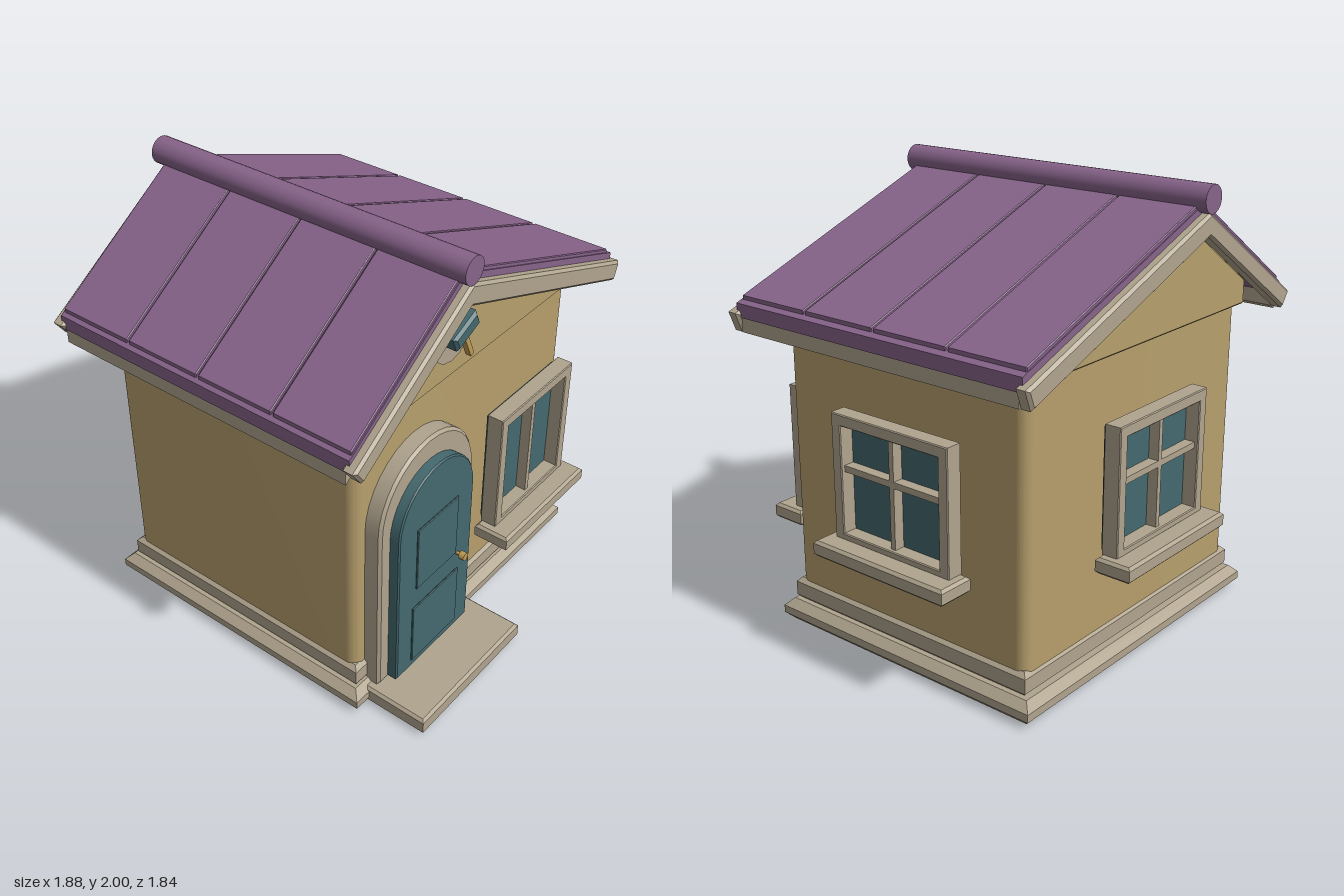
import * as THREE from 'three';
import { toCreasedNormals } from 'three/addons/utils/BufferGeometryUtils.js';

const mat = (name, color) => new THREE.MeshStandardMaterial({ name, color });

export function createModel() {
  const house = new THREE.Group();
  house.name = 'cottage';
  const plaster = mat('plaster', 0xb79f6d);
  const trim = mat('trim', 0xb0a48e);
  const teal = mat('teal', 0x44696f);
  const purple = mat('purple', 0x87638a);
  const brass = mat('brass', 0xbd9853);

  const add = (name, geo, material, parent = house) => {
    const mesh = new THREE.Mesh(geo, material);
    mesh.name = name;
    parent.add(mesh);
    return mesh;
  };

  // Outline extruded from z0 to z1, edges chamfered by b inside that size
  const prism = (shape, z0, z1, b = 0) => {
    const geo = new THREE.ExtrudeGeometry(shape, {
      depth: z1 - z0 - 2 * b, curveSegments: 8, bevelEnabled: b > 0,
      bevelSize: b, bevelThickness: b, bevelOffset: -b, bevelSegments: 1,
    });
    return toCreasedNormals(geo.translate(0, 0, z0 + b), 0.5);
  };
  const poly = (pts) => new THREE.Shape(pts.map(([x, y]) => new THREE.Vector2(x, y)));
  const rect = (x0, x1, y0, y1) => poly([[x0, y0], [x1, y0], [x1, y1], [x0, y1]]);
  // Horizontal slab with plan outline x0..x1, z0..z1
  const slab = (x0, x1, z0, z1, y0, y1, b) =>
    prism(rect(x0, x1, -z1, -z0), y0, y1, b).rotateX(-Math.PI / 2);

  // Plinth and front step
  add('lowerPlinth', slab(-0.81, 0.78, -0.765, 0.635, 0, 0.105, 0.035), trim);
  add('upperPlinth', slab(-0.765, 0.735, -0.715, 0.595, 0.1, 0.205, 0.02), trim);
  add('frontStep', slab(-0.73, -0.02, 0.5, 0.92, 0.01, 0.088, 0.012), trim);

  // Walls with rounded corners
  const [wx0, wx1, wy0, wy1, r] = [-0.75, 0.72, -0.58, 0.705, 0.05];
  const plan = new THREE.Shape();
  plan.absarc(wx1 - r, wy1 - r, r, 0, Math.PI / 2);
  plan.absarc(wx0 + r, wy1 - r, r, Math.PI / 2, Math.PI);
  plan.absarc(wx0 + r, wy0 + r, r, Math.PI, Math.PI * 1.5);
  plan.absarc(wx1 - r, wy0 + r, r, Math.PI * 1.5, Math.PI * 2);
  add('walls', prism(plan, 0.15, 1.39).rotateX(-Math.PI / 2), plaster);

  // Gable block standing slightly proud of the walls
  const gable = [[-0.78, 1.38], [0.755, 1.38], [0.755, 1.47], [-0.245, 1.85], [-0.78, 1.49]];
  add('gable', prism(poly(gable), -0.725, 0.6, 0.008), plaster);

  // Roof: base slab, planks and eave board on each slope
  const ridge = -0.245;
  const slopes = [
    { side: 'left', dx: 1.135, k: 0.376 },
    { side: 'right', dx: -0.675, k: 0.665 },
  ];
  for (const { side, dx, k } of slopes) {
    const at = (t, dy) => [ridge + dx * t, 1.88 - Math.abs(dx) * t * k + dy];
    const strip = (t0, t1, dy0, dy1) => {
      const pts = [at(t0, dy0), at(t1, dy0), at(t1, dy1), at(t0, dy1)];
      return poly(dx > 0 ? pts : pts.reverse());
    };
    add(side + 'RoofBase', prism(strip(0, 1, -0.025, 0.035), -0.82, 0.69), purple);
    for (let i = 0; i < 4; i++) {
      const z = -0.82 + i * 0.3775;
      add(side + 'RoofPlank', prism(strip(0, 0.975, 0.03, 0.052), z + 0.005, z + 0.3725, 0.004), purple);
    }
    add(side + 'EaveBoard', prism(strip(0.955, 0.995, -0.09, -0.005), -0.8, 0.67), trim);
  }
  add('ridgePole', new THREE.CylinderGeometry(0.06, 0.06, 1.595, 20)
    .rotateX(Math.PI / 2).translate(ridge, 1.94, -0.0675), purple);

  // Gable fascia boards, front and back
  const fascia = [[-0.94, 1.43], [-0.89, 1.36], [ridge, 1.785], [0.88, 1.365], [0.912, 1.45], [ridge, 1.885]];
  add('frontFascia', prism(poly(fascia), 0.665, 0.73, 0.012), trim);
  add('backFascia', prism(poly(fascia), -0.86, -0.795, 0.012), trim);

  // Arched doorway
  const arch = (Type, radius, spring, y0, cx = -0.377) => {
    const s = new Type();
    s.moveTo(cx - radius, y0);
    s.lineTo(cx + radius, y0);
    s.lineTo(cx + radius, spring);
    s.absarc(cx, spring, radius, 0, Math.PI);
    s.closePath();
    return s;
  };
  add('doorFrame', prism(arch(THREE.Shape, 0.314, 0.907, 0.09), 0.5, 0.657, 0.012), trim);
  add('door', prism(arch(THREE.Shape, 0.253, 0.867, 0.105), 0.6, 0.705, 0.006), teal);
  add('upperDoorPanel', prism(rect(-0.515, -0.237, 0.55, 0.865), 0.704, 0.713, 0.003), teal);
  add('lowerDoorPanel', prism(rect(-0.535, -0.217, 0.147, 0.45), 0.704, 0.713, 0.003), teal);
  add('doorKnobStem', new THREE.CylinderGeometry(0.008, 0.008, 0.03, 8)
    .rotateX(Math.PI / 2).translate(-0.222, 0.537, 0.715), brass);
  add('doorKnob', new THREE.CylinderGeometry(0.019, 0.019, 0.026, 10)
    .rotateX(Math.PI / 2).translate(-0.222, 0.537, 0.738), brass);

  // Window facing +z: origin at the middle of the frame's bottom back edge
  const makeWindow = (name, w, h, crossBar) => {
    const g = new THREE.Group();
    g.name = name;
    house.add(g);
    const x = w / 2;
    const frame = rect(-x, x, 0, h);
    frame.holes.push(rect(-x + 0.05, x - 0.05, 0.03, h - 0.05));
    add('windowFrame', prism(frame, 0, 0.078, 0.004), trim, g);
    add('windowGlass', prism(rect(-x + 0.02, x - 0.02, 0.012, h - 0.02), -0.014, 0.012), teal, g);
    add('windowMullion', prism(rect(-0.012, 0.012, 0.02, h - 0.04), 0.005, 0.06), trim, g);
    if (crossBar) {
      add('windowCrossBar', prism(rect(-x + 0.04, x - 0.04, crossBar, crossBar + 0.028), 0.005, 0.06), trim, g);
    }
    add('windowSill', slab(-x - 0.042, x + 0.042, 0, 0.167, -0.068, 0.003, 0.012), trim, g);
    return g;
  };
  makeWindow('frontWindow', 0.55, 0.58, 0).position.set(0.342, 0.48, 0.632);
  const sideWindow = makeWindow('leftWindow', 0.625, 0.55, 0.298);
  sideWindow.position.set(0.772, 0.565, -0.115);
  sideWindow.rotation.y = Math.PI / 2;
  const backWindow = makeWindow('backWindow', 0.625, 0.56, 0.298);
  backWindow.position.set(-0.012, 0.573, -0.754);
  backWindow.rotation.y = Math.PI;

  // Round plaque with a hammer
  add('plaque', new THREE.CylinderGeometry(0.127, 0.127, 0.06, 14)
    .rotateX(Math.PI / 2).translate(-0.243, 1.633, 0.615), trim);
  const hammer = new THREE.Group();
  hammer.name = 'hammer';
  hammer.position.set(-0.275, 1.695, 0.695);
  hammer.rotation.z = 0.42;
  house.add(hammer);
  add('hammerHead', prism(rect(-0.078, 0.078, -0.035, 0.035), -0.035, 0.042, 0.012), teal, hammer);
  add('hammerHandle', new THREE.BoxGeometry(0.022, 0.17, 0.025).translate(0.01, -0.09, 0), brass, hammer);

  return house;
}
